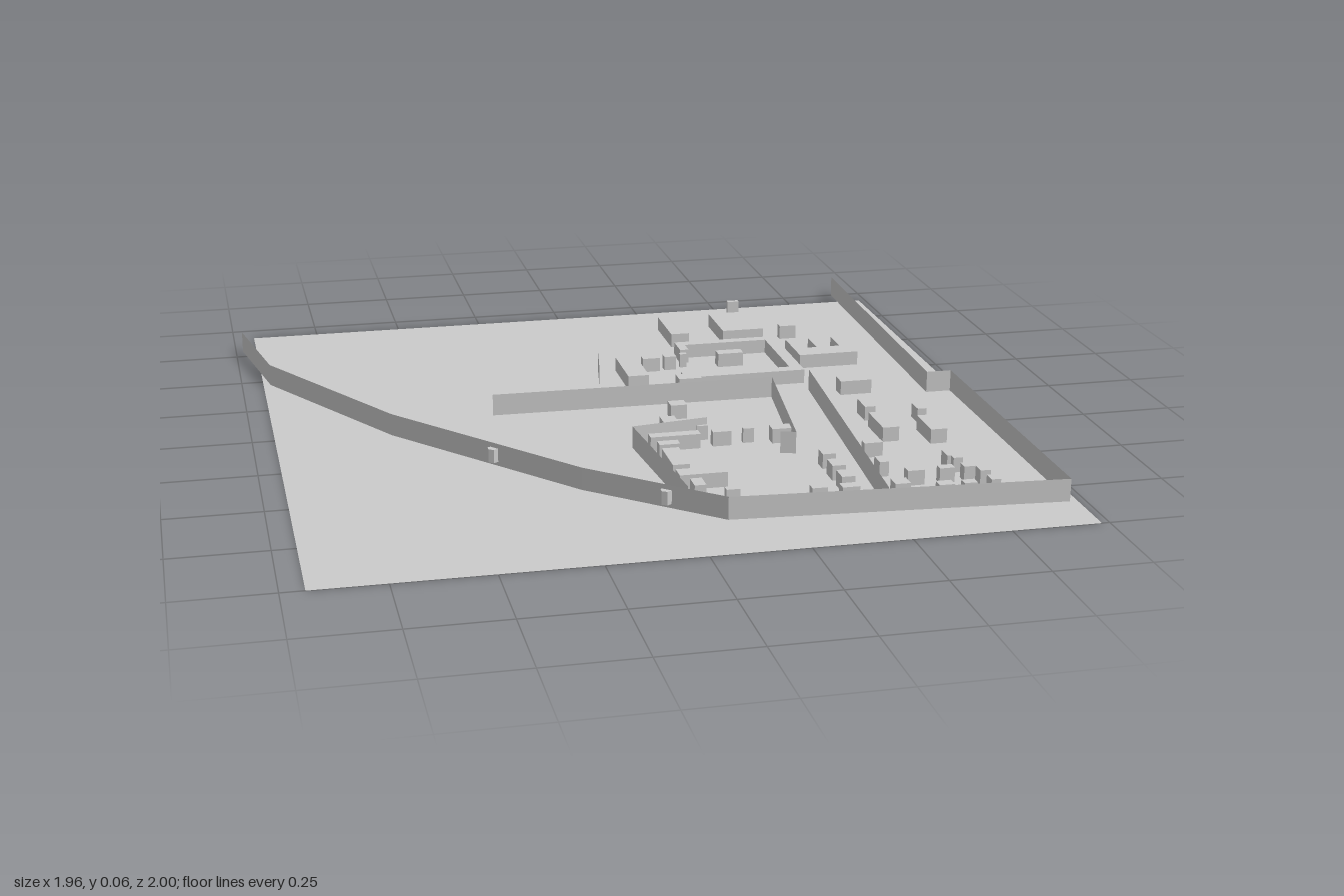
import * as THREE from 'three';

const material = new THREE.MeshStandardMaterial({ color: 0xcccccc, flatShading: true });
const sheet = new THREE.MeshStandardMaterial({ color: 0xcccccc, flatShading: true, side: THREE.DoubleSide });
const WALL_HEIGHT = 0.06;
const HOUSE_HEIGHT = 0.04;

// Building footprints by district: [x0, x1, z0, z1]
const districts = {
  northBuilding: [
    [0.53, 0.565, -0.88, -0.865], [0.28, 0.335, -0.755, -0.575], [0.44, 0.565, -0.755, -0.575],
    [0.62, 0.67, -0.61, -0.585], [0.07, 0.13, -0.395, -0.215], [0.145, 0.195, -0.39, -0.36],
    [0.21, 0.245, -0.39, -0.365], [0.26, 0.28, -0.395, -0.38], [0.37, 0.445, -0.395, -0.36],
    [0.645, 0.735, -0.09, -0.045],
  ],
  westBuilding: [
    [0.13, 0.175, 0.015, 0.055], [0.08, 0.12, 0.135, 0.23], [0.16, 0.19, 0.215, 0.23],
    [0.02, 0.155, 0.26, 0.29], [0.19, 0.24, 0.26, 0.285], [0.275, 0.305, 0.26, 0.275],
    [0.35, 0.41, 0.26, 0.295], [0.03, 0.085, 0.32, 0.35], [0.03, 0.075, 0.375, 0.5],
    [0.03, 0.155, 0.53, 0.575], [0.05, 0.08, 0.6, 0.65], [0.12, 0.155, 0.675, 0.695],
  ],
  eastBuilding: [
    [0.645, 0.675, 0.105, 0.175], [0.78, 0.805, 0.17, 0.22], [0.64, 0.685, 0.22, 0.345],
    [0.76, 0.805, 0.27, 0.385], [0.555, 0.605, 0.425, 0.45], [0.55, 0.575, 0.545, 0.59],
    [0.6, 0.645, 0.635, 0.665], [0.685, 0.725, 0.64, 0.665], [0.54, 0.58, 0.705, 0.745],
    [0.645, 0.685, 0.745, 0.775], [0.71, 0.745, 0.75, 0.775], [0.785, 0.81, 0.73, 0.765],
    [0.93, 0.955, 0.81, 0.83],
  ],
  southBuilding: [
    [0.425, 0.46, 0.465, 0.505], [0.425, 0.46, 0.54, 0.59], [0.425, 0.46, 0.62, 0.67],
    [0.33, 0.37, 0.705, 0.73], [0.405, 0.45, 0.71, 0.74], [0.485, 0.505, 0.78, 0.795],
  ],
};

// Buildings with angled footprints, as [x, z] outlines
const compounds = {
  courtyardBuilding: [
    [0.27, -0.495], [0.575, -0.495], [0.575, -0.17], [0.27, -0.17], [0.27, -0.16], [0.205, -0.16],
    [0.205, -0.205], [0.225, -0.205], [0.225, -0.225], [0.25, -0.225], [0.25, -0.205],
    [0.54, -0.205], [0.54, -0.465], [0.295, -0.465], [0.295, -0.42], [0.27, -0.42],
  ],
  threeWingBuilding: [
    [0.6, -0.455], [0.635, -0.455], [0.635, -0.365], [0.67, -0.365], [0.67, -0.455], [0.705, -0.455],
    [0.705, -0.365], [0.74, -0.365], [0.74, -0.455], [0.775, -0.455], [0.775, -0.3], [0.6, -0.3],
  ],
  cornerBuilding: [
    [0.75, 0.635], [0.808, 0.635], [0.808, 0.7], [0.78, 0.7], [0.78, 0.665], [0.75, 0.665],
  ],
  notchedBuilding: [
    [0.735, 0.535], [0.755, 0.535], [0.755, 0.55], [0.77, 0.545], [0.77, 0.6], [0.745, 0.6],
    [0.745, 0.58], [0.735, 0.58],
  ],
};

// Centre lines of the upright walls, as [x, z]
const walls = {
  outerWall: [
    [-0.98, -0.8], [-0.92, -0.47], [-0.63, 0.02], [-0.21, 0.52], [0.1, 0.79], [0.96, 0.85],
    [0.96, -0.02], [0.89, -0.02], [0.91, -1],
  ],
  crossWall: [[-0.34, -0.08], [0.45, -0.07], [0.39, 0.38], [0.35, 0.37]],
  northScreenWall: [[0.02, -0.4], [-0.01, -0.23]],
  avenueWall: [[0.57, -0.11], [0.5, 0.81]],
  westEnclosureWall: [[0.19, 0.22], [-0.02, 0.25], [0.02, 0.7]],
};

function add(group, name, geometry, mat = material) {
  const mesh = new THREE.Mesh(geometry, mat);
  mesh.name = name;
  group.add(mesh);
  return mesh;
}

// Thin upright ribbon along a ground path
function ribbon(path) {
  const geometry = new THREE.PlaneGeometry(1, 1, path.length - 1, 1);
  const position = geometry.attributes.position;
  for (let i = 0; i < position.count; i++) {
    const [x, z] = path[i % path.length];
    position.setXYZ(i, x, i < path.length ? WALL_HEIGHT : 0, z);
  }
  geometry.computeVertexNormals();
  return geometry;
}

// Footprint raised to a flat-roofed block
function block(outline) {
  const shape = new THREE.Shape(outline.map(([x, z]) => new THREE.Vector2(x, -z)));
  return new THREE.ExtrudeGeometry(shape, { depth: HOUSE_HEIGHT, bevelEnabled: false }).rotateX(-Math.PI / 2);
}

export function createModel() {
  const model = new THREE.Group();
  model.name = 'walledTown';

  // Ground sheet
  const ground = add(model, 'ground', new THREE.PlaneGeometry(1.92, 1.925).rotateX(-Math.PI / 2), sheet);
  ground.position.set(0.02, 0, 0.0375);

  // Walls
  for (const [name, path] of Object.entries(walls)) add(model, name, ribbon(path), sheet);

  // Small hexagonal turrets set on the outer wall
  for (const [x, z] of [[-0.4, 0.3], [-0.03, 0.68]]) {
    const turret = add(model, 'turret', new THREE.CylinderGeometry(0.015, 0.015, 0.036, 6));
    turret.position.set(x, 0.029, z);
  }

  // Box-shaped buildings
  for (const [name, footprints] of Object.entries(districts)) {
    for (const [x0, x1, z0, z1] of footprints) {
      const house = add(model, name, new THREE.BoxGeometry(x1 - x0, HOUSE_HEIGHT, z1 - z0));
      house.position.set((x0 + x1) / 2, HOUSE_HEIGHT / 2, (z0 + z1) / 2);
    }
  }

  // Buildings with wings and courts
  for (const [name, outline] of Object.entries(compounds)) add(model, name, block(outline));

  return model;
}
